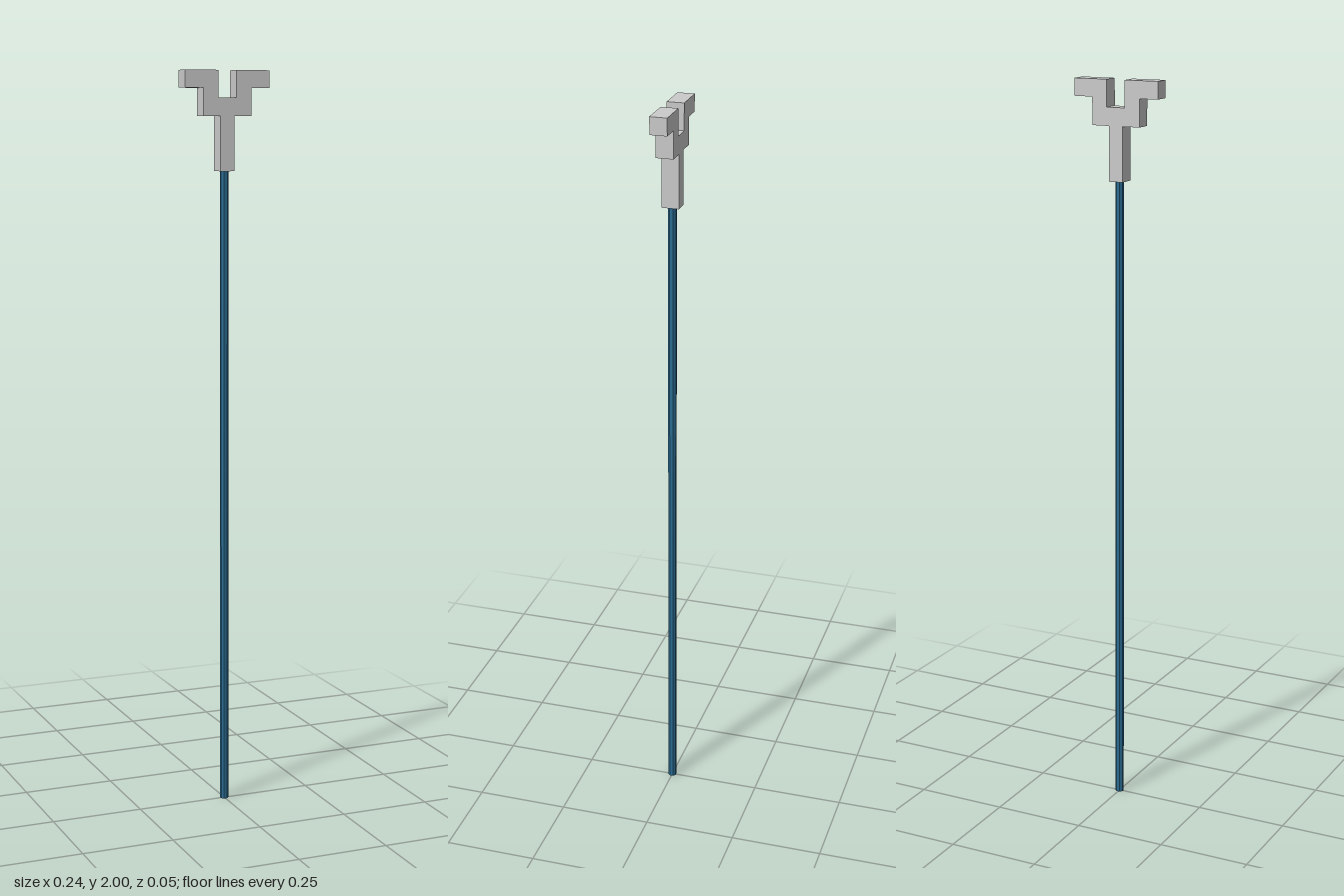
import * as THREE from 'three';

export function createModel() {
  const model = new THREE.Group();
  const grey = new THREE.MeshStandardMaterial({ color: 0xcccccc, flatShading: true });
  const blue = new THREE.MeshStandardMaterial({ color: 0x2b6c92, flatShading: true });

  // Long slender faceted shaft
  const neckBase = 1.737;
  const shaft = new THREE.Mesh(new THREE.CylinderGeometry(0.0115, 0.0115, neckBase, 8), blue);
  shaft.name = 'shaft';
  shaft.position.y = neckBase / 2;
  shaft.rotation.y = Math.PI / 8;
  model.add(shaft);

  // Stepped fork head: right half of the outline, mirrored for the other half
  const half = [
    [0.02, neckBase], [0.02, 1.881], [0.068, 1.881], [0.068, 1.954],
    [0.12, 1.954], [0.12, 2], [0.026, 2], [0.026, 1.929],
  ];
  const mirrored = half.map(([x, y]) => [-x, y]).reverse();
  const outline = new THREE.Shape([...half, ...mirrored].map(([x, y]) => new THREE.Vector2(x, y)));
  const depth = 0.046;
  const headGeometry = new THREE.ExtrudeGeometry(outline, { depth, bevelEnabled: false });
  headGeometry.translate(0, 0, -depth / 2);
  const head = new THREE.Mesh(headGeometry, grey);
  head.name = 'forkHead';
  model.add(head);

  return model;
}
